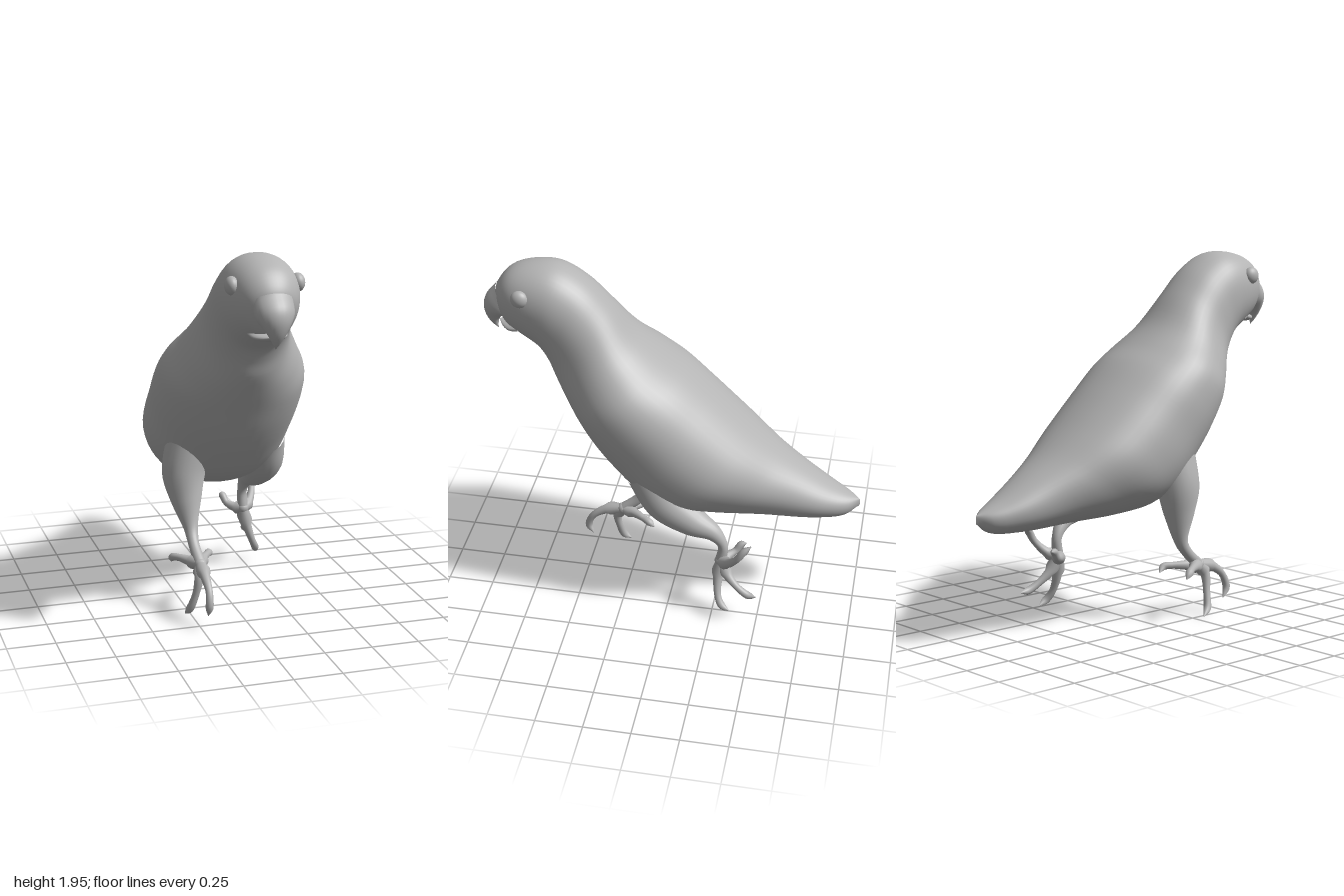
import * as THREE from 'three';

const plumage = new THREE.MeshStandardMaterial({ color: 0xb4b4b4 });
plumage.name = 'plain grey';

// Skin over sections [topZ, topY, bottomZ, bottomY, halfWidth], ordered head to tail.
function loft(sections, steps, sides, power = 1, skew = 0) {
  const upper = new THREE.CatmullRomCurve3(sections.map(s => new THREE.Vector3(s[4], s[1], s[0])));
  const lower = new THREE.CatmullRomCurve3(sections.map(s => new THREE.Vector3(s[4], s[3], s[2])));
  const pos = [], index = [];
  const bend = v => Math.sign(v) * Math.abs(v) ** power;
  for (let i = 0; i <= steps; i++) {
    const a = upper.getPoint(i / steps), b = lower.getPoint(i / steps);
    const w = Math.max(a.x, 0);
    for (let j = 0; j < sides; j++) {
      const t = j / sides * Math.PI * 2;
      const c = bend(Math.cos(t)), s = bend(Math.sin(t));
      const k = (s + 1) / 2;
      pos.push(w * c * (1 + skew * s), b.y + (a.y - b.y) * k, b.z + (a.z - b.z) * k);
      if (i < steps) {
        const p = i * sides + j, q = i * sides + (j + 1) % sides;
        index.push(p, p + sides, q, q, p + sides, q + sides);
      }
    }
  }
  const g = new THREE.BufferGeometry();
  g.setAttribute('position', new THREE.Float32BufferAttribute(pos, 3));
  g.setIndex(index);
  g.computeVertexNormals();
  return g;
}

// Tapered tube through points [x, y, z, radius].
function limb(points, steps = 24, sides = 14) {
  const curve = new THREE.CatmullRomCurve3(points.map(p => new THREE.Vector3(p[0], p[1], p[2])));
  const radii = new THREE.CatmullRomCurve3(points.map(p => new THREE.Vector3(p[3], 0, 0)));
  const g = new THREE.TubeGeometry(curve, steps, 1, sides, false);
  const pos = g.attributes.position, nor = g.attributes.normal;
  const v = new THREE.Vector3(), n = new THREE.Vector3();
  for (let i = 0; i <= steps; i++) {
    // getPointAt matches the tube's own spacing; radius follows the same parameter
    const c = curve.getPointAt(i / steps);
    const r = Math.max(radii.getPoint(curve.getUtoTmapping(i / steps)).x, 0.001);
    for (let j = 0; j <= sides; j++) {
      const k = i * (sides + 1) + j;
      n.fromBufferAttribute(nor, k);
      v.copy(c).addScaledVector(n, r);
      pos.setXYZ(k, v.x, v.y, v.z);
    }
  }
  return g;
}

export function createModel() {
  const bird = new THREE.Group();
  bird.name = 'bird';
  const add = (name, geometry, parent = bird) => {
    const mesh = new THREE.Mesh(geometry, plumage);
    mesh.name = name;
    parent.add(mesh);
    return mesh;
  };

  // Head, trunk, folded wings and tail as one smooth skin
  add('body', loft([
    [0.935, 1.74, 0.92, 1.70, 0],
    [0.92, 1.83, 0.86, 1.60, 0.10],
    [0.85, 1.915, 0.82, 1.575, 0.15],
    [0.74, 1.955, 0.765, 1.54, 0.18],
    [0.60, 1.955, 0.70, 1.49, 0.198],
    [0.46, 1.88, 0.66, 1.42, 0.205],
    [0.33, 1.75, 0.63, 1.34, 0.225],
    [0.20, 1.59, 0.575, 1.24, 0.30],
    [0.07, 1.485, 0.51, 1.13, 0.37],
    [-0.06, 1.40, 0.43, 0.99, 0.387],
    [-0.20, 1.28, 0.33, 0.85, 0.383],
    [-0.32, 1.17, 0.20, 0.71, 0.378],
    [-0.44, 1.06, 0.05, 0.63, 0.355],
    [-0.57, 0.95, -0.15, 0.60, 0.285],
    [-0.70, 0.86, -0.45, 0.59, 0.205],
    [-0.85, 0.765, -0.75, 0.58, 0.135],
    [-0.95, 0.715, -0.92, 0.595, 0.07],
    [-1.0, 0.69, -1.0, 0.65, 0],
  ], 85, 48, 0.94, 0.05));

  // Hooked upper beak and short lower beak, tip to base
  add('upperBeak', loft([
    [0.935, 1.55, 0.933, 1.55, 0.001],
    [0.958, 1.575, 0.933, 1.572, 0.015],
    [0.987, 1.625, 0.925, 1.605, 0.04],
    [1.0, 1.69, 0.90, 1.635, 0.07],
    [0.985, 1.75, 0.86, 1.66, 0.095],
    [0.93, 1.815, 0.83, 1.72, 0.1],
  ], 24, 24));
  add('lowerBeak', loft([
    [0.925, 1.605, 0.923, 1.60, 0.001],
    [0.90, 1.607, 0.89, 1.578, 0.05],
    [0.86, 1.615, 0.85, 1.57, 0.085],
    [0.81, 1.63, 0.80, 1.575, 0.1],
  ], 12, 20));

  for (const side of [-1, 1]) {
    const eye = add(side > 0 ? 'leftEye' : 'rightEye', new THREE.SphereGeometry(0.046, 24, 16));
    eye.position.set(side * 0.165, 1.83, 0.765);
    eye.scale.x = 0.75;
  }

  // Each leg: a thigh-to-ankle path, then four toes from the ankle
  const legs = {
    rightLeg: {
      path: [[-0.2, 0.92, 0.14, 0.12], [-0.235, 0.74, 0.15, 0.115], [-0.228, 0.6, 0.165, 0.085],
        [-0.21, 0.43, 0.2, 0.036], [-0.208, 0.36, 0.25, 0.029], [-0.2, 0.285, 0.34, 0.03]],
      toes: [
        [[-0.205, 0.26, 0.44], [-0.205, 0.2, 0.52], [-0.21, 0.13, 0.545], [-0.21, 0.07, 0.52]],
        [[-0.215, 0.23, 0.375], [-0.235, 0.13, 0.37], [-0.26, 0.05, 0.35], [-0.275, 0.01, 0.31]],
        [[-0.24, 0.285, 0.27], [-0.28, 0.285, 0.21], [-0.305, 0.275, 0.17], [-0.305, 0.245, 0.15]],
        [[-0.17, 0.285, 0.27], [-0.13, 0.285, 0.21], [-0.105, 0.28, 0.17], [-0.105, 0.25, 0.14]],
      ],
    },
    leftLeg: {
      path: [[0.2, 0.88, 0.1, 0.13], [0.235, 0.73, 0.01, 0.12], [0.245, 0.615, -0.13, 0.085],
        [0.235, 0.535, -0.25, 0.045], [0.228, 0.45, -0.3, 0.027], [0.23, 0.35, -0.29, 0.03]],
      toes: [
        [[0.25, 0.25, -0.28], [0.285, 0.15, -0.285], [0.31, 0.1, -0.31], [0.318, 0.07, -0.355]],
        [[0.25, 0.27, -0.33], [0.275, 0.21, -0.39], [0.29, 0.175, -0.45], [0.295, 0.17, -0.495]],
        [[0.275, 0.37, -0.33], [0.31, 0.43, -0.385], [0.31, 0.49, -0.425], [0.29, 0.515, -0.46]],
        [[0.19, 0.35, -0.32], [0.155, 0.365, -0.36], [0.14, 0.4, -0.39], [0.13, 0.405, -0.415]],
      ],
    },
  };
  const toeRadii = [0.026, 0.019, 0.021, 0.002];
  for (const [name, { path, toes }] of Object.entries(legs)) {
    const leg = new THREE.Group();
    leg.name = name;
    bird.add(leg);
    add('thighAndShank', limb(path, 36, 22), leg);
    const ankle = path[path.length - 1];
    add('ankle', new THREE.SphereGeometry(0.033, 16, 12), leg).position.set(...ankle.slice(0, 3));
    for (const toe of toes) {
      add('toe', limb([[...ankle.slice(0, 3), 0.026], ...toe.map((p, i) => [...p, toeRadii[i]])]), leg);
    }
  }
  return bird;
}
